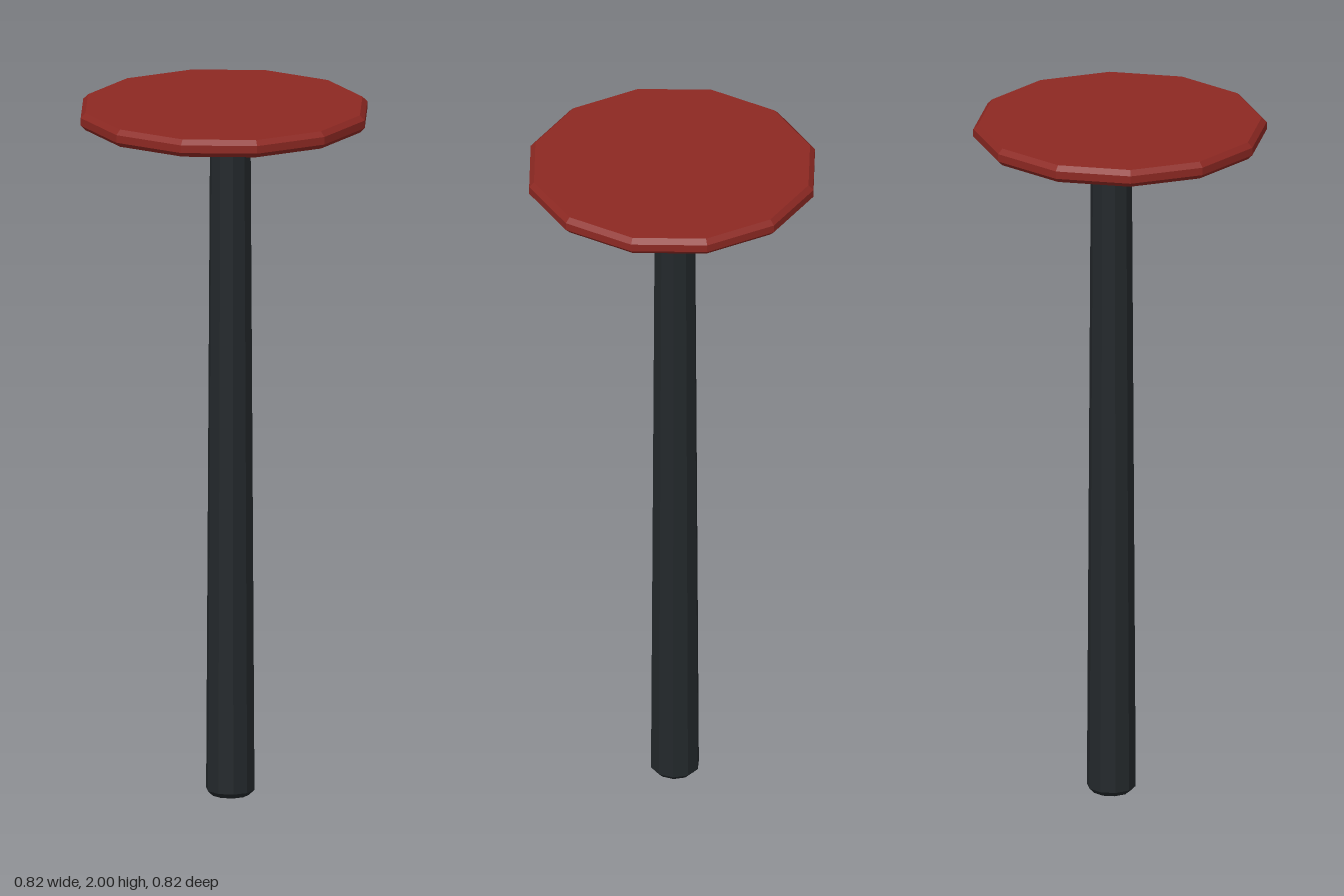
import * as THREE from 'three';

// Solid round part with chamfered rims, from y0 to y1
function chamferedRound(name, sides, bottomR, topR, y0, y1, chamfer, color) {
  const profile = [
    [0, y0], [bottomR - chamfer, y0], [bottomR, y0 + chamfer],
    [topR, y1 - chamfer], [topR - chamfer, y1], [0, y1],
  ].map(([r, y]) => new THREE.Vector2(r, y));
  const geometry = new THREE.LatheGeometry(profile, sides);
  geometry.rotateY(Math.PI / 2); // put a corner on the x axis
  const material = new THREE.MeshStandardMaterial({ color, flatShading: true });
  const mesh = new THREE.Mesh(geometry, material);
  mesh.name = name;
  return mesh;
}

export function createModel() {
  const model = new THREE.Group();
  model.name = 'roundTopPost';

  // Twelve-sided red disc
  model.add(chamferedRound('disc', 12, 0.412, 0.412, 1.95, 2, 0.014, 0x8c2822));

  // Slightly tapered ten-sided post, set a little behind the centre
  const post = chamferedRound('post', 10, 0.069, 0.058, 0, 1.905, 0.015, 0x23282b);
  post.position.set(-0.002, 0, -0.026);
  model.add(post);

  return model;
}
